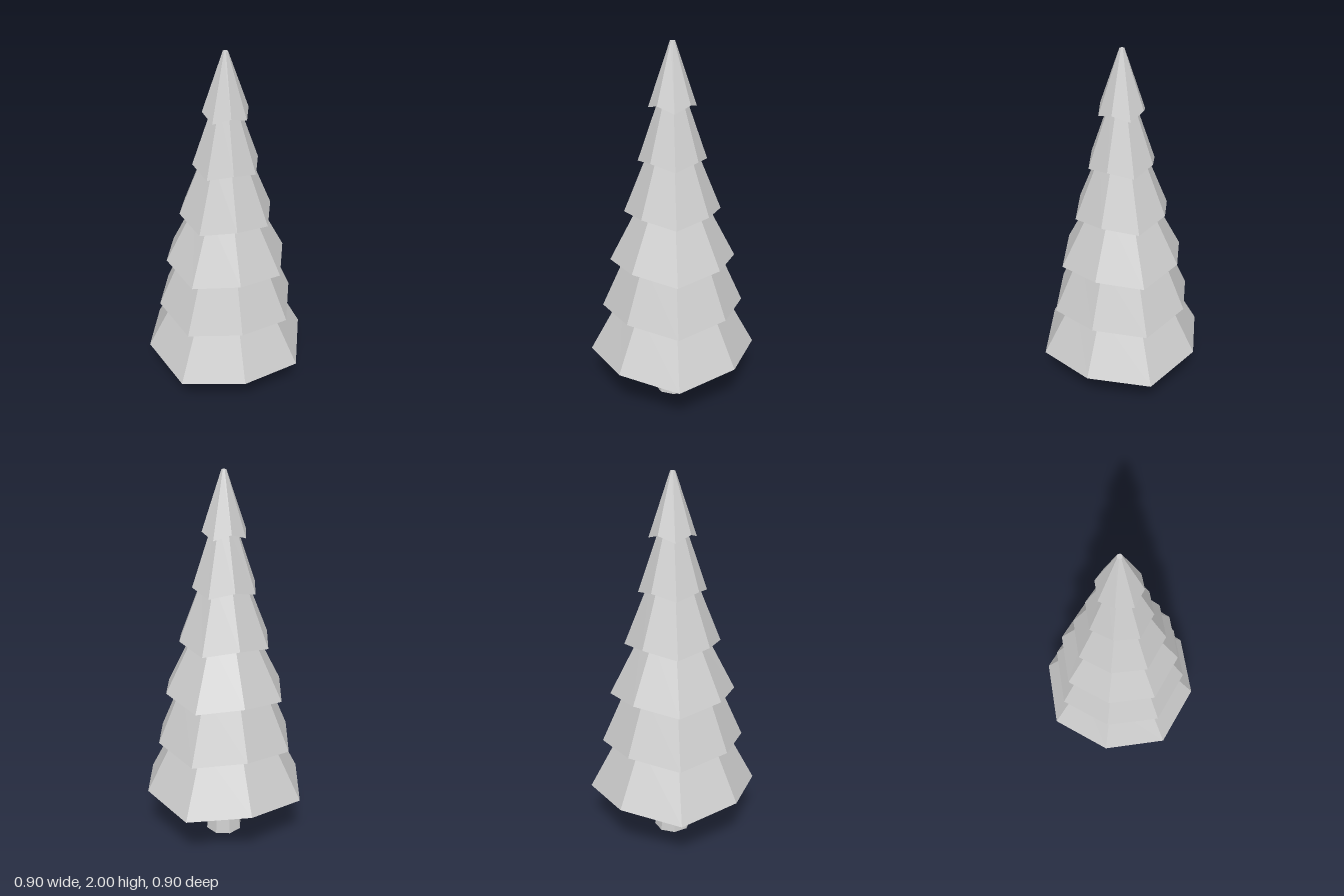
import * as THREE from 'three';

const SIDES = 8;
const material = new THREE.MeshStandardMaterial({ color: 0xcccccc, flatShading: true, side: THREE.DoubleSide });

// Eight-sided solid turned from [radius, height] pairs, listed from bottom centre to top centre
function turned(name, profile, rimRow = -1) {
  const points = profile.map(([r, y]) => new THREE.Vector2(r, y));
  const geometry = new THREE.LatheGeometry(points, SIDES);
  if (rimRow >= 0) {
    // Every second rim corner is lifted and drawn in slightly
    const pos = geometry.attributes.position;
    for (let i = 1; i <= SIDES; i += 2) {
      const k = i * points.length + rimRow;
      pos.setXYZ(k, pos.getX(k) * 0.96, pos.getY(k) + 0.03, pos.getZ(k) * 0.96);
    }
  }
  const mesh = new THREE.Mesh(geometry, material);
  mesh.name = name;
  return mesh;
}

export function createModel() {
  const tree = new THREE.Group();
  tree.name = 'pineTree';

  // Trunk with a narrow waist
  tree.add(turned('trunk', [[0, 0], [0.1, 0], [0.082, 0.175], [0.102, 0.34], [0, 0.34]]));

  // Branch tiers: rim radius, rim height, top radius, top height
  const tiers = [
    [0.45, 0.275, 0.27, 0.62],
    [0.378, 0.555, 0.23, 0.9],
    [0.33, 0.835, 0.158, 1.18],
    [0.25, 1.115, 0.115, 1.46],
    [0.175, 1.395, 0.06, 1.74],
    [0.12, 1.675, 0.013, 2],
  ];
  tiers.forEach(([rim, y, top, topY], i) => {
    const inner = rim * 0.76, innerY = y + 0.055; // hollowed underside
    tree.add(turned(`branchTier${i + 1}`, [[0, innerY], [inner, innerY], [rim, y], [top, topY], [0, topY]], 2));
  });

  return tree;
}
